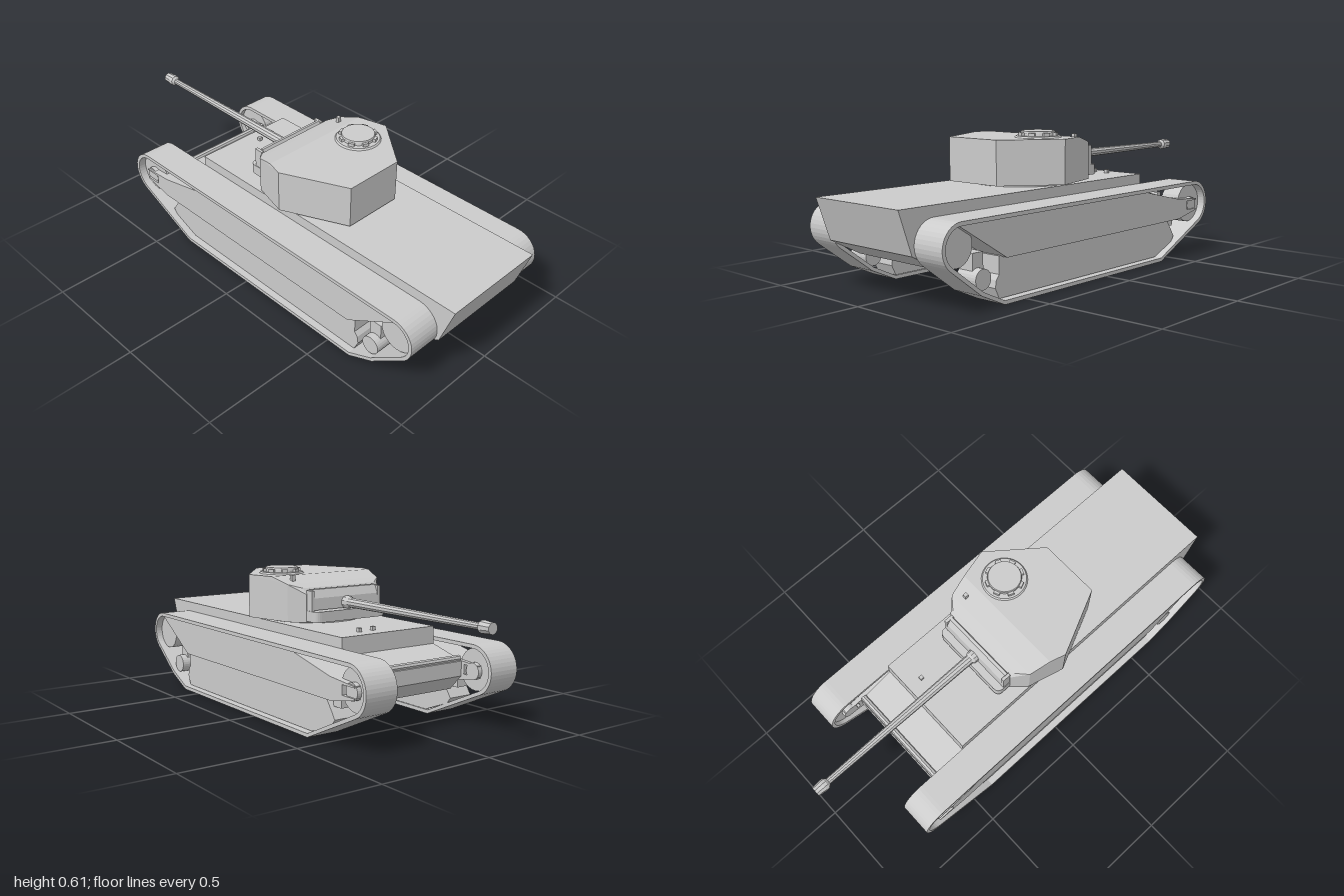
import * as THREE from 'three';
import { ConvexGeometry } from 'three/addons/geometries/ConvexGeometry.js';

const grey = new THREE.MeshStandardMaterial({ color: 0xcccccc, flatShading: true });

export function createModel() {
  const tank = new THREE.Group();
  tank.name = 'tank';

  const add = (name, geometry, parent = tank) => {
    const mesh = new THREE.Mesh(geometry, grey);
    mesh.name = name;
    parent.add(mesh);
    return mesh;
  };
  const box = (name, w, h, d, x, y, z, parent) =>
    add(name, new THREE.BoxGeometry(w, h, d).translate(x, y, z), parent);
  // side profile of [z, y] points, extruded across x0..x1
  const outline = (pts) => pts.map(([a, b]) => new THREE.Vector2(a, b));
  const profile = (pts, x0, x1, hole) => {
    const shape = new THREE.Shape(outline(pts));
    if (hole) shape.holes.push(new THREE.Path(outline(hole)));
    return new THREE.ExtrudeGeometry(shape, { depth: x1 - x0, bevelEnabled: false })
      .rotateY(-Math.PI / 2).translate(x1, 0, 0);
  };
  const arc = (z, y, r, from, to, n = 14) => Array.from({ length: n + 1 }, (_, i) => {
    const a = THREE.MathUtils.degToRad(from + (to - from) * i / n);
    return [z + r * Math.cos(a), y + r * Math.sin(a)];
  });
  const wheel = (name, r, w, x, y, z, parent) =>
    add(name, new THREE.CylinderGeometry(r, r, w, 24).rotateZ(Math.PI / 2).translate(x, y, z), parent);

  // hull with stepped bow and undercut stern
  add('hull', profile([
    [1, 0.384], [0.94, 0.21], [0.8, 0.136], [-0.54, 0.136], [-0.6, 0.2], [-0.6, 0.262],
    [-0.57, 0.272], [-0.43, 0.31], [-0.43, 0.384],
  ], -0.24, 0.24));
  add('bowBar', new THREE.CylinderGeometry(0.014, 0.014, 0.48, 8).rotateZ(Math.PI / 2).translate(0, 0.272, -0.585));
  for (const x of [0.03, 0.1]) box('driverPeriscope', 0.016, 0.018, 0.016, x, 0.391, -0.36);

  // running gear, one group per side
  const loop = (t) => [
    ...arc(-0.663, 0.235, 0.105 - t, 90, 245.5, 18),
    [-0.4, t], [0.62, t], [0.74 - t * 0.4, 0.055 + t * 0.9],
    ...arc(0.835, 0.245, 0.095 - t, -53, 90),
  ];
  for (const side of [1, -1]) {
    const gear = new THREE.Group();
    gear.name = side > 0 ? 'leftRunningGear' : 'rightRunningGear';
    const span = (a, b) => (side > 0 ? [a, b] : [-b, -a]);
    add('track', profile(loop(0), ...span(0.24, 0.385), loop(0.016)), gear);
    // upper skirt with a forked front end around the sprocket
    add('upperSkirt', profile([
      ...arc(0.845, 0.247, 0.078, 270, 90), [0.8, 0.326], [-0.28, 0.326],
      [-0.54, 0.268], [-0.69, 0.256], [-0.69, 0.25], [-0.615, 0.25], [-0.615, 0.21],
      [-0.69, 0.21], [-0.69, 0.203], [-0.55, 0.175],
    ].filter(([z], i) => i > 14 || z >= 0.845 || i === 0 || i === 14)
      .map(([z, y], i) => (i === 0 ? [0.6, 0.174] : [z, y])), ...span(0.24, 0.378)), gear);
    // lower plate covering the suspension
    add('lowerPlate', profile([
      [0.62, 0.18], [0.62, 0.11], [0.635, 0.09], [0.64, 0.06], [0.62, 0.018], [-0.39, 0.018],
      [-0.52, 0.07], [-0.54, 0.095], [-0.52, 0.125], [-0.48, 0.18],
    ], ...span(0.24, 0.355)), gear);
    wheel('sprocket', 0.088, 0.09, side * 0.305, 0.235, -0.663, gear);
    wheel('sprocketHub', 0.035, 0.13, side * 0.305, 0.23, -0.663, gear);
    wheel('idler', 0.078, 0.11, side * 0.3, 0.245, 0.835, gear);
    wheel('rearWheel', 0.04, 0.1, side * 0.315, 0.108, 0.712, gear);
    box('rearWheelArm', 0.07, 0.09, 0.055, side * 0.3, 0.16, 0.71, gear);
    box('frontWheelArm', 0.07, 0.06, 0.05, side * 0.3, 0.17, -0.53, gear);
    tank.add(gear);
  }

  // turret: flat roof falling away towards the gun
  const turret = new THREE.Group();
  turret.name = 'turret';
  tank.add(turret);
  add('turretRing', new THREE.CylinderGeometry(0.22, 0.22, 0.03, 32).translate(0, 0.39, 0.11), turret);
  const plan = [ // x, z, roof height
    [-0.152, 0.39, 0.582], [0.12, 0.39, 0.582], [0.295, 0.17, 0.582], [0.262, 0.04, 0.582],
    [0.24, -0.05, 0.555], [0.19, -0.09, 0.54], [0.185, -0.11, 0.515],
    [-0.185, -0.11, 0.515], [-0.19, -0.09, 0.54], [-0.24, -0.05, 0.555], [-0.262, 0.04, 0.582],
    [-0.282, 0.11, 0.582],
  ];
  add('turretShell', new ConvexGeometry(plan.flatMap(([x, z, y]) =>
    [new THREE.Vector3(x, 0.396, z), new THREE.Vector3(x, y, z)])), turret);

  // gun mount: upright mantlet over a rounded lower lip
  add('mantlet', profile([
    [-0.1, 0.45], [-0.1, 0.51], [-0.112, 0.537], [-0.125, 0.535], [-0.142, 0.5], [-0.145, 0.45],
  ], -0.17, 0.17), turret);
  const lip = new THREE.Shape();
  lip.moveTo(-0.185, 0.1).lineTo(0.185, 0.1).lineTo(0.185, 0.15);
  lip.quadraticCurveTo(0.185, 0.178, 0.155, 0.178).lineTo(-0.155, 0.178);
  lip.quadraticCurveTo(-0.185, 0.178, -0.185, 0.15);
  add('mantletLip', new THREE.ExtrudeGeometry(lip, { depth: 0.045, bevelEnabled: false, curveSegments: 6 })
    .rotateX(-Math.PI / 2).translate(0, 0.402, 0), turret);
  for (const x of [-0.175, 0.175]) box('mantletCheek', 0.014, 0.1, 0.04, x, 0.482, -0.125, turret);

  // barrel and muzzle brake as one turned profile: [radius, distance forward]
  const gun = [[0, 0.1], [0.03, 0.1], [0.028, 0.16], [0.021, 0.17], [0.02, 0.3], [0.014, 0.9], [0.014, 0.935],
    [0.024, 0.945], [0.026, 0.96], [0.023, 0.985], [0.023, 1], [0, 1]];
  const barrel = add('gunBarrel', new THREE.LatheGeometry(outline(gun), 10).rotateX(-Math.PI / 2), turret);
  barrel.position.y = 0.473;

  // commander's cupola with a ring of vision blocks
  const cupola = new THREE.Group();
  cupola.name = 'cupola';
  cupola.position.set(0.135, 0.58, 0.155);
  turret.add(cupola);
  add('cupolaBase', new THREE.CylinderGeometry(0.093, 0.1, 0.009, 32).translate(0, 0.0045, 0), cupola);
  add('cupolaDrum', new THREE.CylinderGeometry(0.068, 0.072, 0.022, 32).translate(0, 0.014, 0), cupola);
  add('cupolaHatch', new THREE.CylinderGeometry(0.07, 0.073, 0.008, 32).translate(0, 0.025, 0), cupola);
  for (let i = 0; i < 8; i++) {
    const block = box('visionBlock', 0.026, 0.015, 0.014, 0, 0.015, 0.076, cupola);
    block.rotation.y = (i + 0.5) * Math.PI / 4;
  }
  box('turretPeriscope', 0.016, 0.03, 0.016, 0.19, 0.575, -0.015, turret);

  return tank;
}
